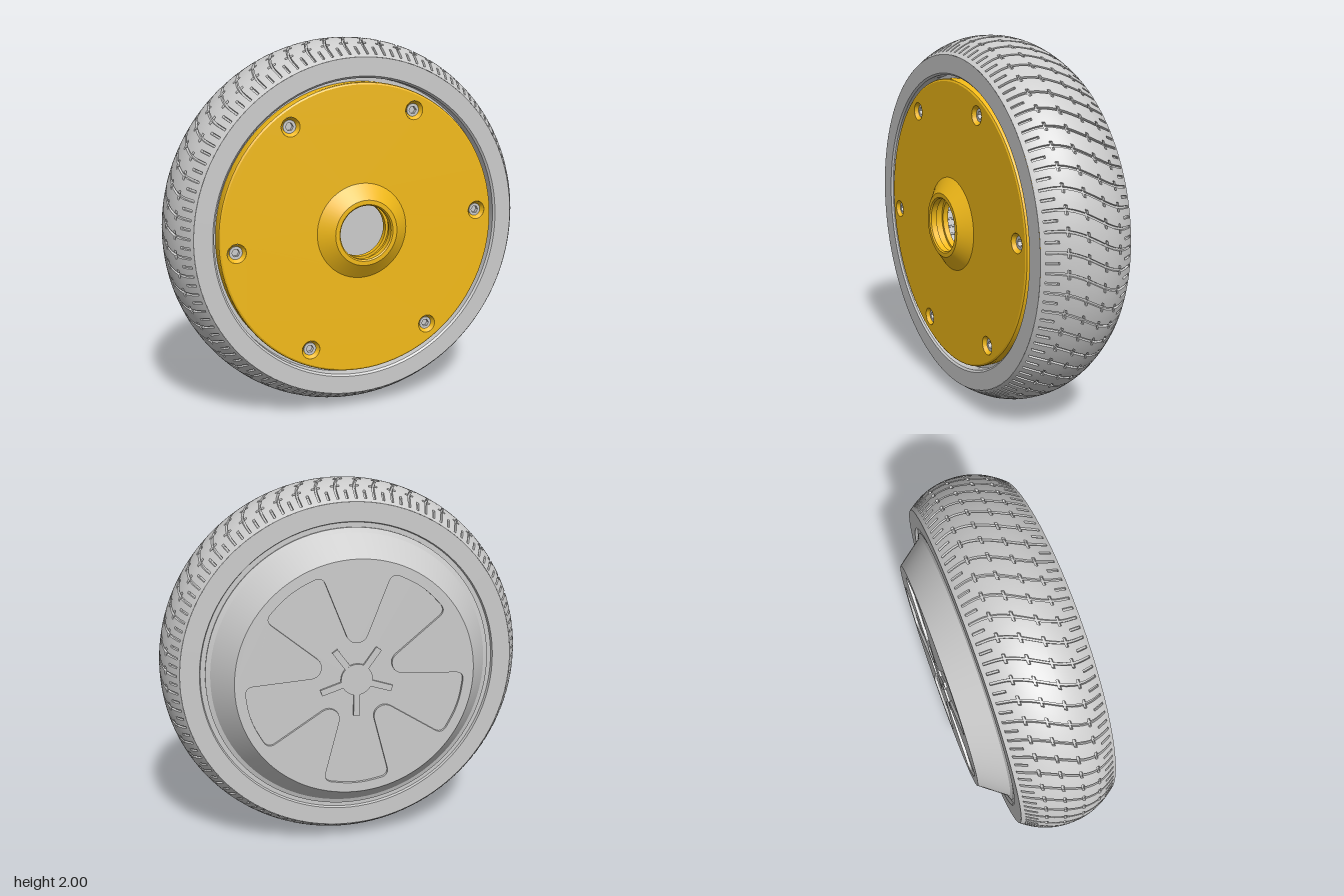
import * as THREE from 'three';
import { toCreasedNormals } from 'three/addons/utils/BufferGeometryUtils.js';

const TAU = Math.PI * 2;
const grey = new THREE.MeshStandardMaterial({ color: 0xcccccc, side: THREE.DoubleSide });
const gold = new THREE.MeshStandardMaterial({ color: 0xf2ba18, side: THREE.DoubleSide });

function add(parent, name, geometry, material) {
  const mesh = new THREE.Mesh(geometry, material);
  mesh.name = name;
  parent.add(mesh);
  return mesh;
}

// Profile of [radius, z] pairs turned about the wheel's axis (z)
function turned(profile, segments = 96) {
  const g = new THREE.LatheGeometry(profile.map(([r, z]) => new THREE.Vector2(r, z)), segments);
  return toCreasedNormals(g.rotateX(Math.PI / 2), 0.4);
}

function extruded(shape, z0, z1, curveSegments = 24) {
  const g = new THREE.ExtrudeGeometry(shape, { depth: z1 - z0, bevelEnabled: false, curveSegments });
  return toCreasedNormals(g.translate(0, 0, z0), 0.5);
}

const circle = (C, x, y, r) => new C().absarc(x, y, r, 0, TAU, false);

// Closed outline through [x, y, cornerRadius] points with rounded corners
function roundedPath(points) {
  const path = new THREE.Path();
  const n = points.length;
  const toward = (a, b) => {
    const dx = b[0] - a[0], dy = b[1] - a[1];
    const t = Math.min(a[2] / Math.hypot(dx, dy), 0.5);
    return [a[0] + dx * t, a[1] + dy * t];
  };
  points.forEach((p, i) => {
    const start = toward(p, points[(i + n - 1) % n]);
    const end = toward(p, points[(i + 1) % n]);
    if (i === 0) path.moveTo(...start); else path.lineTo(...start);
    path.quadraticCurveTo(p[0], p[1], ...end);
  });
  path.closePath();
  return path;
}

// Crowned tread: a grid whose rows and columns follow the groove edges
function treadGeometry() {
  const pitches = 60, pitch = TAU / pitches, zc = 0.045, depth = 0.012;
  const cols = [-0.024, -0.022, -0.007, -0.005, 0.005, 0.007, 0.022, 0.024,
    pitch / 2 - 0.007, pitch / 2 - 0.005, pitch / 2 + 0.005, pitch / 2 + 0.007];
  const half = [0.02, 0.043, 0.045, 0.055, 0.057, 0.08, 0.11, 0.138, 0.14, 0.15, 0.152,
    0.17, 0.185, 0.187, 0.205, 0.225, 0.24, 0.242, 0.252, 0.26];
  const rows = [...half.map(o => -o).reverse(), 0, ...half];
  const sunk = (u, o) => {
    const a = Math.abs(o), e = 1e-4;
    const cross = Math.abs(u) < 0.005 + e && a < 0.24 + e;
    const dash = Math.abs(u) < 0.022 + e && (Math.abs(a - 0.05) < 0.005 + e || Math.abs(a - 0.145) < 0.005 + e);
    const tick = Math.abs(u - pitch / 2) < 0.005 + e && a > 0.187 - e && a < 0.24 + e;
    return cross || dash || tick ? depth : 0;
  };
  const pos = [], index = [], nc = pitches * cols.length;
  for (const o of rows) {
    const r0 = 1 - 0.09 * Math.pow(Math.abs(o) / 0.255, 2.2);
    const sweep = 0.07 * Math.sin(THREE.MathUtils.clamp(o / 0.2, -1, 1) * Math.PI / 2);
    for (let p = 0; p < pitches; p++) {
      for (const u of cols) {
        const t = p * pitch + u + sweep, r = r0 - sunk(u, o);
        pos.push(r * Math.cos(t), r * Math.sin(t), zc + o);
      }
    }
  }
  for (let j = 0; j < rows.length - 1; j++) {
    for (let i = 0; i < nc; i++) {
      const k = (i + 1) % nc, a = j * nc + i, b = j * nc + k;
      index.push(a, b, b + nc, a, b + nc, a + nc);
    }
  }
  const g = new THREE.BufferGeometry();
  g.setAttribute('position', new THREE.Float32BufferAttribute(pos, 3));
  g.setIndex(index);
  return toCreasedNormals(g, 0.5);
}

export function createModel() {
  const wheel = new THREE.Group();
  wheel.name = 'wheel';
  wheel.position.y = 1;

  // Tyre
  const tyre = new THREE.Group();
  tyre.name = 'tyre';
  wheel.add(tyre);
  add(tyre, 'tread', treadGeometry(), grey);
  add(tyre, 'frontSidewall', turned([[0.906, 0.305], [0.81, 0.305], [0.8, 0.295], [0.8, 0.24], [0.76, 0.24]]), grey);
  add(tyre, 'backSidewall', turned([[0.74, -0.2], [0.8, -0.2], [0.805, -0.215], [0.906, -0.215]]), grey);

  // Gold cover with six countersunk screw holes
  const cover = new THREE.Group();
  cover.name = 'cover';
  wheel.add(cover);
  const plate = circle(THREE.Shape, 0, 0, 0.768);
  plate.holes.push(circle(THREE.Path, 0, 0, 0.22));
  const screws = [];
  for (let i = 0; i < 6; i++) {
    const a = THREE.MathUtils.degToRad(4.8 + 60 * i);
    screws.push([0.69 * Math.cos(a), 0.69 * Math.sin(a)]);
    plate.holes.push(circle(THREE.Path, ...screws[i], 0.05));
  }
  add(cover, 'coverPlate', extruded(plate, 0.285, 0.303, 48), gold);
  add(cover, 'coverRim', turned([[0.78, 0.22], [0.78, 0.291], [0.777, 0.298], [0.768, 0.303]]), gold);
  add(cover, 'coverBoss', turned([[0.255, 0.303], [0.175, 0.36], [0.152, 0.36], [0.145, 0.353],
    [0.145, 0.32], [0.16, 0.32], [0.16, 0.28], [0.145, 0.28], [0.145, 0.25]], 64), gold);

  // Screws with a hexagonal socket
  const head = circle(THREE.Shape, 0, 0, 0.034);
  const socket = new THREE.Path();
  for (let i = 0; i < 6; i++) {
    const x = 0.021 * Math.cos(i * TAU / 6), y = 0.021 * Math.sin(i * TAU / 6);
    if (i === 0) socket.moveTo(x, y); else socket.lineTo(x, y);
  }
  socket.closePath();
  head.holes.push(socket);
  const headGeo = extruded(head, 0.262, 0.285, 12);
  const floorGeo = new THREE.CircleGeometry(0.034, 24).translate(0, 0, 0.264);
  const sinkGeo = turned([[0.05, 0.303], [0.034, 0.28], [0.034, 0.262]], 24);
  for (const [x, y] of screws) {
    add(cover, 'countersink', sinkGeo, gold).position.set(x, y, 0);
    add(cover, 'screwHead', headGeo, grey).position.set(x, y, 0);
    add(cover, 'screwSocketFloor', floorGeo, grey).position.set(x, y, 0);
  }

  // Tapered motor housing at the back
  const housing = new THREE.Group();
  housing.name = 'motorHousing';
  wheel.add(housing);
  add(housing, 'housingTaper', turned([[0.64, -0.36], [0.75, -0.218], [0.775, -0.21], [0.775, -0.19]]), grey);

  // Housing face with a shallow five-armed recess
  const face = circle(THREE.Shape, 0, 0, 0.64);
  const outline = [];
  for (let i = 0; i < 5; i++) {
    const a = -Math.PI / 2 + i * TAU / 5, d = Math.PI / 10;
    const polar = (t, r, round) => [r * Math.cos(t), r * Math.sin(t), round];
    outline.push(polar(a - 2 * d + 0.2, 0.205, 0.045), polar(a - d, 0.59, 0.05),
      polar(a, 0.595, 0.13), polar(a + d, 0.59, 0.05), polar(a + 2 * d - 0.2, 0.205, 0.045));
  }
  face.holes.push(roundedPath(outline));
  add(housing, 'housingFace', extruded(face, -0.36, -0.345, 48), grey);
  add(housing, 'recessFloor', new THREE.CircleGeometry(0.64, 96).translate(0, 0, -0.345), grey);

  // Raised five-spoked centre
  add(housing, 'centreDisc', new THREE.CylinderGeometry(0.085, 0.085, 0.015, 48).rotateX(Math.PI / 2), grey)
    .position.z = -0.35;
  for (let i = 0; i < 5; i++) {
    const a = -Math.PI / 2 + i * TAU / 5;
    const bar = add(housing, 'centreSpoke', new THREE.BoxGeometry(0.14, 0.034, 0.014), grey);
    bar.position.set(0.13 * Math.cos(a), 0.13 * Math.sin(a), -0.35);
    bar.rotation.z = a;
  }

  const root = new THREE.Group();
  root.add(wheel);
  return root;
}
